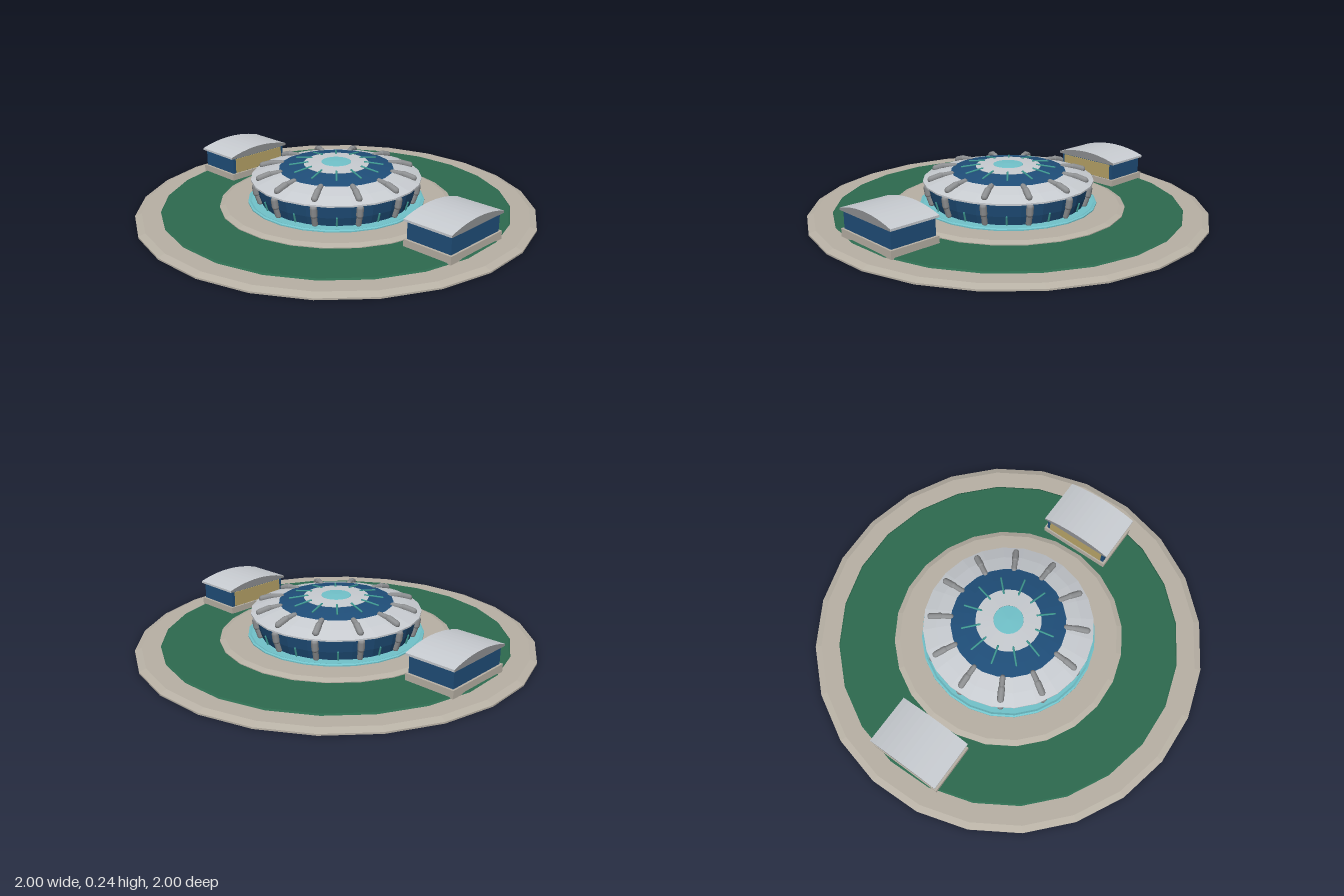
import * as THREE from 'three';

const mat = (name, color, extra = {}) => Object.assign(new THREE.MeshStandardMaterial({ color, ...extra }), { name });
const stone = mat('stone', 0xb8b1a5, { flatShading: true });
const grass = mat('grass', 0x2d6a4f, { flatShading: true });
const glass = mat('blue glass', 0x1f4e79, { flatShading: true });
const roofGrey = mat('roof grey', 0xc8ccd1, { flatShading: true });
const ribGrey = mat('rib grey', 0x8f9193);
const water = mat('water', 0x72c3cb, { flatShading: true });
const tan = mat('tan panel', 0xb8a468);
const teal = mat('teal trim', 0x3f9a94);

const SIDES = 24;
const TWIST = -2 * Math.PI / 180;

function add(parent, name, geometry, material, x = 0, y = 0, z = 0) {
  const m = new THREE.Mesh(geometry, material);
  m.name = name;
  m.position.set(x, y, z);
  parent.add(m);
  return m;
}

// faceted ring or dome from [radius, height] pairs, bottom to top
function turned(parent, name, pts, material) {
  const profile = pts.map(([r, y]) => new THREE.Vector2(r, y));
  return add(parent, name, new THREE.LatheGeometry(profile, SIDES, Math.PI / SIDES), material);
}

// rounded bar between two points in the z-y plane
function bar(parent, name, a, b, radius, material) {
  const from = new THREE.Vector3(0, a[1], a[0]), to = new THREE.Vector3(0, b[1], b[0]);
  const dir = to.clone().sub(from);
  const m = add(parent, name, new THREE.CapsuleGeometry(radius, dir.length(), 3, 8), material);
  m.position.copy(from).add(to).multiplyScalar(0.5);
  m.quaternion.setFromUnitVectors(new THREE.Vector3(0, 1, 0), dir.normalize());
  return m;
}

// barrel-roofed pavilion, outer end towards +z
function pavilion(name) {
  const g = new THREE.Group();
  g.name = name;
  add(g, 'plinth', new THREE.BoxGeometry(0.385, 0.045, 0.26), stone, 0, 0.0375, 0);
  add(g, 'glassWalls', new THREE.BoxGeometry(0.36, 0.1, 0.24), glass, 0, 0.108, 0);
  add(g, 'entrancePanel', new THREE.BoxGeometry(0.325, 0.08, 0.006), tan, 0, 0.102, -0.121);
  const half = 0.195, rise = 0.03;
  const s = new THREE.Shape();
  s.moveTo(-half, 0.147);
  s.lineTo(half, 0.147);
  for (let i = 0; i <= 12; i++) {
    const t = 1 - i / 6;
    s.lineTo(half * t, 0.158 + rise * (1 - t * t));
  }
  const roof = new THREE.ExtrudeGeometry(s, { depth: 0.26, bevelEnabled: false });
  add(g, 'barrelRoof', roof, [ribGrey, roofGrey], 0, 0, -0.13);
  return g;
}

export function createModel() {
  const model = new THREE.Group();
  model.name = 'domePavilionSite';

  // stepped ground
  turned(model, 'outerPaving', [[0, 0], [1.008, 0], [1.008, 0.008], [0.975, 0.02], [0, 0.02]], stone);
  turned(model, 'lawn', [[0.885, 0.018], [0.875, 0.026], [0.5, 0.026]], grass);
  turned(model, 'plaza', [[0.593, 0.02], [0.593, 0.03], [0.565, 0.04], [0, 0.04]], stone);
  turned(model, 'pool', [[0.45, 0.038], [0.45, 0.046], [0.442, 0.05], [0.432, 0.046], [0.3, 0.046]], water);

  // main building
  const hall = new THREE.Group();
  hall.name = 'domedHall';
  model.add(hall);
  turned(hall, 'glassDrum', [[0.385, 0.04], [0.402, 0.09], [0.415, 0.158]], glass);
  turned(hall, 'lowerRoof', [[0.38, 0.153], [0.432, 0.155], [0.432, 0.163], [0.365, 0.186], [0.29, 0.205]], roofGrey);
  turned(hall, 'glassBand', [[0.29, 0.205], [0.225, 0.217], [0.162, 0.226]], glass);
  turned(hall, 'upperRoof', [[0.165, 0.223], [0.165, 0.228], [0.075, 0.233]], roofGrey);
  turned(hall, 'skylight', [[0.076, 0.232], [0.074, 0.235], [0, 0.238]], water);

  // ribs and buttresses, with slim trim between them
  for (let i = 0; i < 12; i++) {
    const bay = new THREE.Group();
    bay.name = 'bay' + (i + 1);
    bay.rotation.y = TWIST + i * Math.PI / 6;
    hall.add(bay);
    bar(bay, 'roofRibInner', [0.29, 0.203], [0.345, 0.197], 0.014, ribGrey);
    bar(bay, 'roofRibOuter', [0.345, 0.197], [0.395, 0.181], 0.017, ribGrey);
    bar(bay, 'buttressUpper', [0.415, 0.14], [0.41, 0.105], 0.018, ribGrey);
    bar(bay, 'buttressLower', [0.41, 0.105], [0.394, 0.055], 0.015, ribGrey);

    const mid = new THREE.Group();
    mid.name = 'trim' + (i + 1);
    mid.rotation.y = TWIST + (i + 0.5) * Math.PI / 6;
    hall.add(mid);
    bar(mid, 'roofSpoke', [0.145, 0.231], [0.235, 0.217], 0.005, teal);
    bar(mid, 'wallMullion', [0.39, 0.05], [0.401, 0.09], 0.005, teal);
  }

  // two pavilions on opposite sides
  const angle = 28 * Math.PI / 180;
  ['frontPavilion', 'backPavilion'].forEach((name, i) => {
    const p = pavilion(name);
    const a = angle + i * Math.PI;
    p.rotation.y = a;
    p.position.set(0.736 * Math.sin(a), 0, 0.736 * Math.cos(a));
    model.add(p);
  });

  return model;
}
